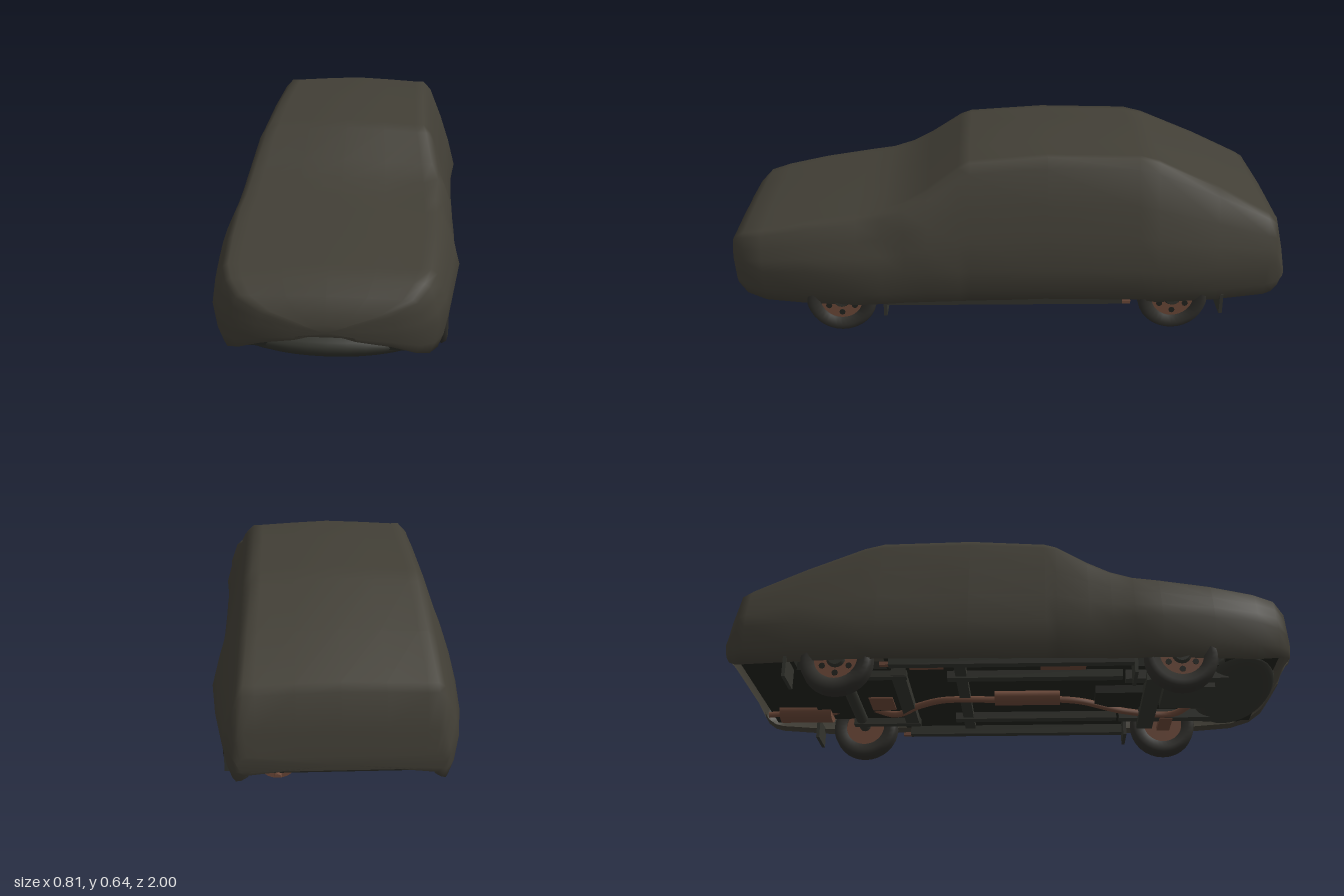
import * as THREE from 'three';

const mat = (name, color, side = THREE.FrontSide) => {
  const m = new THREE.MeshStandardMaterial({ color, side });
  m.name = name;
  return m;
};

export function createModel() {
  const cloth = mat('cover cloth', 0x423f36, THREE.DoubleSide);
  const rubber = mat('tyre rubber', 0x302f2b);
  const rust = mat('rusty metal', 0x6e4a3a);
  const under = mat('dark underbody', 0x23241f);
  const steel = mat('dull steel', 0x33342e);

  const car = new THREE.Group();
  car.name = 'coveredCar';

  const add = (name, geo, material, x = 0, y = 0, z = 0, parent = car) => {
    const m = new THREE.Mesh(geo, material);
    m.name = name;
    m.position.set(x, y, z);
    parent.add(m);
    return m;
  };
  const box = (name, material, w, h, d, x, y, z) =>
    add(name, new THREE.BoxGeometry(w, h, d), material, x, y, z);
  const tube = (name, pts, r, material) => {
    const curve = new THREE.CatmullRomCurve3(pts.map(p => new THREE.Vector3(...p)));
    return add(name, new THREE.TubeGeometry(curve, 32, r, 8), material);
  };

  // Cloth cover: z, half width, half width of top, hem, top, height of widest point
  const stations = [
    [1.0, 0.10, 0.08, 0.20, 0.25, 0.225],
    [0.985, 0.21, 0.19, 0.18, 0.285, 0.22],
    [0.96, 0.29, 0.265, 0.15, 0.325, 0.22],
    [0.92, 0.335, 0.30, 0.13, 0.363, 0.23],
    [0.85, 0.362, 0.32, 0.115, 0.38, 0.24],
    [0.70, 0.383, 0.33, 0.11, 0.41, 0.25],
    [0.52, 0.403, 0.335, 0.11, 0.437, 0.25],
    [0.43, 0.396, 0.33, 0.11, 0.452, 0.25],
    [0.35, 0.39, 0.325, 0.112, 0.48, 0.25],
    [0.27, 0.39, 0.315, 0.114, 0.527, 0.25],
    [0.16, 0.388, 0.295, 0.116, 0.607, 0.25],
    [0.12, 0.387, 0.285, 0.117, 0.625, 0.25],
    [-0.15, 0.385, 0.28, 0.12, 0.645, 0.25],
    [-0.47, 0.392, 0.28, 0.12, 0.638, 0.25],
    [-0.54, 0.405, 0.28, 0.115, 0.62, 0.25],
    [-0.75, 0.385, 0.29, 0.115, 0.525, 0.25],
    [-0.93, 0.355, 0.30, 0.12, 0.432, 0.25],
    [-0.96, 0.343, 0.30, 0.125, 0.412, 0.25],
    [-0.985, 0.325, 0.30, 0.14, 0.30, 0.22],
    [-1.0, 0.31, 0.29, 0.165, 0.225, 0.20],
  ];
  const halfSection = ([, w, wt, yb, yt, yw]) => {
    const h = yt - yb, ye = yt - 0.03 * h;
    const side = (t, bulge) => [
      THREE.MathUtils.lerp(w, wt, t) + bulge * h, THREE.MathUtils.lerp(yw, ye, t)];
    return [
      [w * 0.86, yb + 0.012], [w * 0.92, yb], [w * 0.965, yb + (yw - yb) * 0.35],
      [w, yw], side(0.3, 0.02), side(0.6, 0.025), side(0.92, 0.015),
      [wt - 0.012, ye + 0.002], [wt * 0.85, ye + 0.004 * h], [wt * 0.45, yt - 0.012 * h],
    ];
  };
  const pos = [], idx = [];
  let n = 0;
  stations.forEach((s, i) => {
    const half = halfSection(s);
    // the cloth catches on a mirror on the left shoulder
    const fold = Math.max(0, 1 - Math.abs(s[0] - 0.35) / 0.09);
    const left = half.map(([x, y], j) =>
      j > 4 && j < 8 ? [x + 0.014 * fold, y + 0.014 * fold] : [x, y]);
    const ring = [...left, [0, s[4]], ...half.slice().reverse().map(([x, y]) => [-x, y])];
    n = ring.length;
    ring.forEach(([x, y]) => pos.push(x, y, s[0]));
    if (i === 0) return;
    for (let j = 0; j < n - 1; j++) {
      const a = (i - 1) * n + j, b = i * n + j;
      idx.push(a, b, a + 1, b, b + 1, a + 1);
    }
  });
  // nose and tail ends
  const last = (stations.length - 1) * n, c = pos.length / 3;
  pos.push(0, 0.225, 1.0, 0, 0.195, -1.0);
  for (let j = 0; j < n; j++) {
    const k = (j + 1) % n;
    idx.push(c, j, k, c + 1, last + k, last + j);
  }
  const coverGeo = new THREE.BufferGeometry();
  coverGeo.setAttribute('position', new THREE.Float32BufferAttribute(pos, 3));
  coverGeo.setIndex(idx);
  coverGeo.computeVertexNormals();
  add('carCover', coverGeo, cloth);

  // Wheels: lathed tyre, rim dish, hub and bolts
  const tyreProfile = [[0.075, -0.03], [0.1, -0.039], [0.118, -0.034], [0.125, -0.02],
    [0.125, 0.02], [0.118, 0.034], [0.1, 0.039], [0.075, 0.03], [0.075, -0.03]]
    .map(p => new THREE.Vector2(...p));
  const tyreGeo = new THREE.LatheGeometry(tyreProfile, 32);
  const rimGeo = new THREE.CylinderGeometry(0.076, 0.076, 0.045, 24);
  const hubGeo = new THREE.CylinderGeometry(0.026, 0.034, 0.014, 16);
  const boltGeo = new THREE.CylinderGeometry(0.011, 0.011, 0.004, 8);
  for (const side of [1, -1]) for (const z of [0.58, -0.6]) {
    const wheel = new THREE.Group();
    wheel.name = (z > 0 ? 'front' : 'rear') + (side > 0 ? 'Left' : 'Right') + 'Wheel';
    wheel.position.set(side * 0.33, 0.126, z);
    wheel.rotation.z = -side * Math.PI / 2;
    car.add(wheel);
    add('tyre', tyreGeo, rubber, 0, 0, 0, wheel);
    add('rim', rimGeo, rust, 0, 0, 0, wheel);
    add('hub', hubGeo, steel, 0, 0.028, 0, wheel);
    for (let k = 0; k < 6; k++) {
      const a = k * Math.PI / 3;
      add('rimHole', boltGeo, under, Math.cos(a) * 0.053, 0.023, Math.sin(a) * 0.053, wheel);
    }
    // mud flap behind each wheel
    box('mudFlap', steel, 0.12, 0.075, 0.012, side * 0.3, 0.0975, z > 0 ? 0.425 : -0.775);
  }

  // Floor pan, narrowed between the wheels
  const floor = (w, z0, z1, y = 0.15) =>
    box('floorPan', under, w, 0.03, z0 - z1, 0, y, (z0 + z1) / 2);
  floor(0.62, 0.92, 0.74);
  floor(0.48, 0.74, 0.43);
  floor(0.72, 0.43, -0.44);
  floor(0.48, -0.44, -0.76);
  floor(0.6, -0.76, -0.95, 0.16);

  // Front apron under the nose
  const apron = add('frontApron', new THREE.SphereGeometry(1, 32, 16), steel, 0, 0.14, 0.81);
  apron.scale.set(0.31, 0.056, 0.14);

  // Sills, rails and crossmembers
  for (const s of [1, -1]) {
    box('sill', steel, 0.03, 0.035, 0.84, s * 0.34, 0.117, 0);
    box('sillRust', rust, 0.018, 0.012, 0.7, s * 0.345, 0.106, -0.1);
    box('floorRail', steel, 0.035, 0.03, 0.62, s * 0.2, 0.122, 0.08);
    box('frontRail', steel, 0.04, 0.04, 0.36, s * 0.19, 0.12, 0.58);
    box('trailingArm', steel, 0.03, 0.025, 0.26, s * 0.23, 0.115, -0.5);
    box('suspensionArm', rust, 0.13, 0.016, 0.05, s * 0.24, 0.105, 0.58);
  }
  box('frontCrossmember', steel, 0.48, 0.035, 0.06, 0, 0.1, 0.5);
  box('middleCrossmember', steel, 0.6, 0.025, 0.04, 0, 0.125, -0.18);
  box('rearCrossmember', steel, 0.5, 0.03, 0.05, 0, 0.12, -0.4);
  box('engineSump', steel, 0.2, 0.05, 0.18, -0.05, 0.115, 0.63);
  box('gearbox', under, 0.14, 0.04, 0.2, 0, 0.125, 0.4);
  const axle = add('rearAxle', new THREE.CylinderGeometry(0.022, 0.022, 0.6, 12), steel, 0, 0.126, -0.6);
  axle.rotation.z = Math.PI / 2;

  // Rust patches on the floor
  for (const [x, z, w, d] of [[-0.27, 0.18, 0.09, 0.16], [-0.28, -0.3, 0.08, 0.12],
    [0.08, -0.5, 0.12, 0.09], [-0.1, -0.66, 0.12, 0.07]])
    box('rustPatch', rust, w, 0.006, d, x, 0.133, z);

  // Exhaust: pipe and two silencers
  tube('frontPipe', [[0.06, 0.11, 0.66], [0.16, 0.11, 0.6], [0.12, 0.108, 0.42],
    [0.02, 0.11, 0.25], [0, 0.112, 0.15]], 0.013, rust);
  tube('rearPipe', [[0, 0.112, -0.05], [0, 0.112, -0.26], [0.06, 0.114, -0.36],
    [0.16, 0.12, -0.46], [0.17, 0.16, -0.6], [0.19, 0.14, -0.72]], 0.013, rust);
  tube('tailPipe', [[0.19, 0.14, -0.9], [0.19, 0.135, -0.96]], 0.012, rust);
  const silencer = (name, r, len, x, y, z) => {
    const m = add(name, new THREE.CylinderGeometry(r, r, len, 20), rust, x, y, z);
    m.rotation.x = Math.PI / 2;
    m.scale.x = 1.4;
  };
  silencer('middleSilencer', 0.026, 0.24, 0, 0.118, 0.05);
  silencer('rearSilencer', 0.036, 0.2, 0.19, 0.142, -0.81);

  return car;
}
